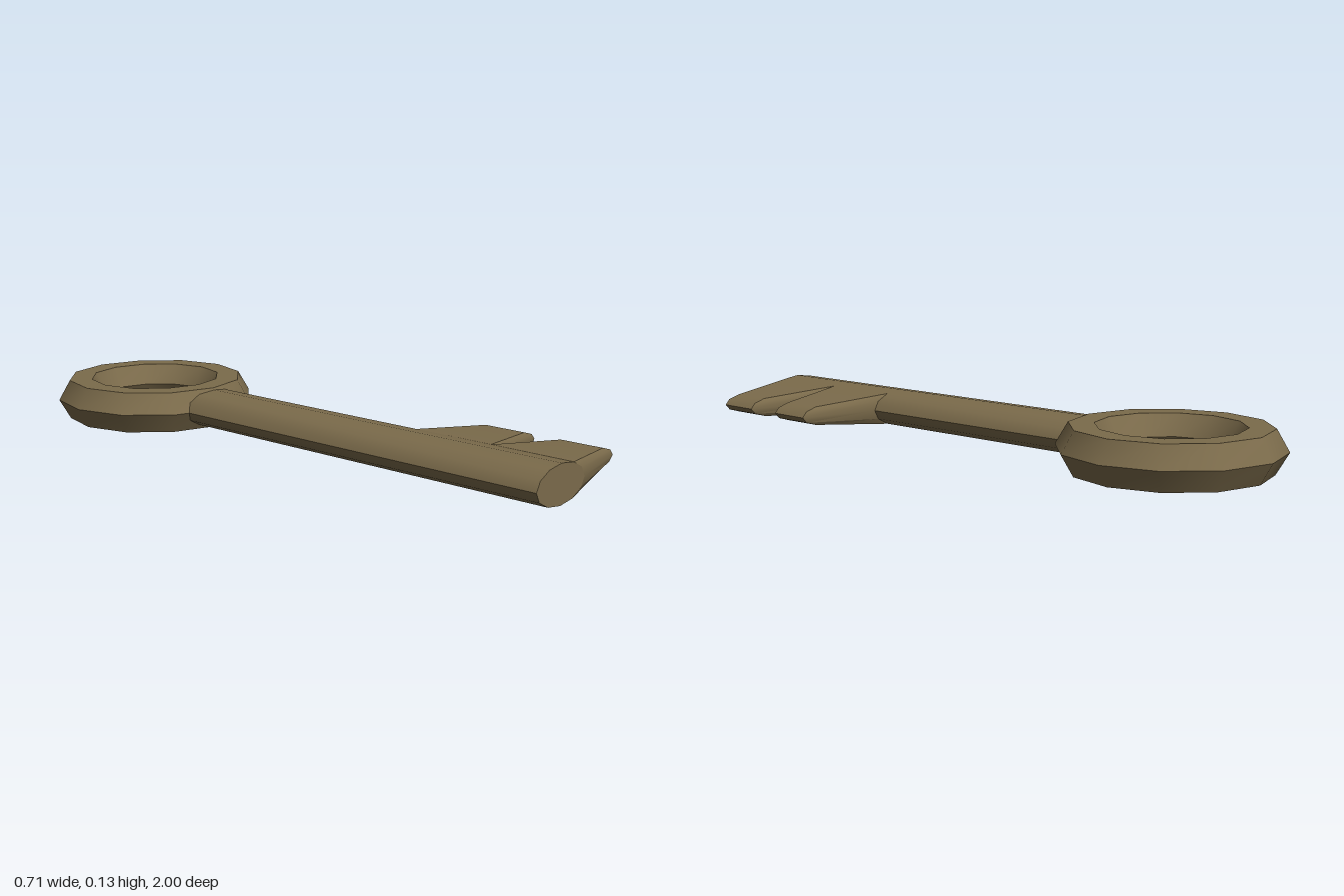
import * as THREE from 'three';
import { toCreasedNormals } from 'three/addons/utils/BufferGeometryUtils.js';

const CX = -0.02, CY = 0.067; // axis of the shaft
const RX = 0.117, RY = 0.06; // half width and half height of the shaft
const CREASE = THREE.MathUtils.degToRad(36);

// Tooth drawn out of the shaft's side, tapering from a base arc to a small tip arc
function toothGeometry(baseZ, tipZ) {
  const tipX = [0.3, 0.34, 0.356, 0.34, 0.3];
  const tipY = [0.03, 0.018, 0, -0.018, -0.03];
  const base = (i, s) => {
    const a = (Math.PI / 6) * (2 - i);
    return [CX + RX * Math.cos(a), CY + RY * Math.sin(a), baseZ[s]];
  };
  const tip = (i, s) => [tipX[i], CY + tipY[i], tipZ[s]];
  const positions = [];
  const quad = (a, b, c, d) => positions.push(...a, ...b, ...c, ...a, ...c, ...d);

  quad(base(0, 0), base(0, 1), tip(0, 1), tip(0, 0)); // top
  quad(base(4, 0), tip(4, 0), tip(4, 1), base(4, 1)); // underside
  for (let i = 0; i < 4; i++) {
    quad(tip(i, 0), tip(i, 1), tip(i + 1, 1), tip(i + 1, 0)); // end
    quad(base(i, 1), base(i + 1, 1), tip(i + 1, 1), tip(i, 1)); // front flank
    quad(base(i, 0), tip(i, 0), tip(i + 1, 0), base(i + 1, 0)); // back flank
  }
  const geometry = new THREE.BufferGeometry();
  geometry.setAttribute('position', new THREE.Float32BufferAttribute(positions, 3));
  return geometry;
}

export function createModel() {
  const group = new THREE.Group();
  group.name = 'key';
  const brass = new THREE.MeshStandardMaterial({ color: 0x7b6b4b });
  brass.name = 'agedBrass';

  const add = (name, geometry) => {
    const mesh = new THREE.Mesh(toCreasedNormals(geometry, CREASE), brass);
    mesh.name = name;
    group.add(mesh);
  };

  // Ring handle with a six-sided section
  const ring = new THREE.TorusGeometry(0.26, 0.077, 6, 12);
  ring.rotateX(Math.PI / 2).translate(CX, CY, -0.663);
  add('ringHandle', ring);

  // Flattened twelve-sided shaft, its back end buried in the ring
  const shaft = new THREE.CylinderGeometry(1, 1, 1.4, 12);
  shaft.rotateX(Math.PI / 2).scale(RX, RY, 1).translate(CX, CY, 0.3);
  add('shaft', shaft);

  // Two teeth on the left side
  add('backTooth', toothGeometry([0.457, 0.727], [0.522, 0.664]));
  add('frontTooth', toothGeometry([0.727, 1], [0.792, 0.934]));

  return group;
}
